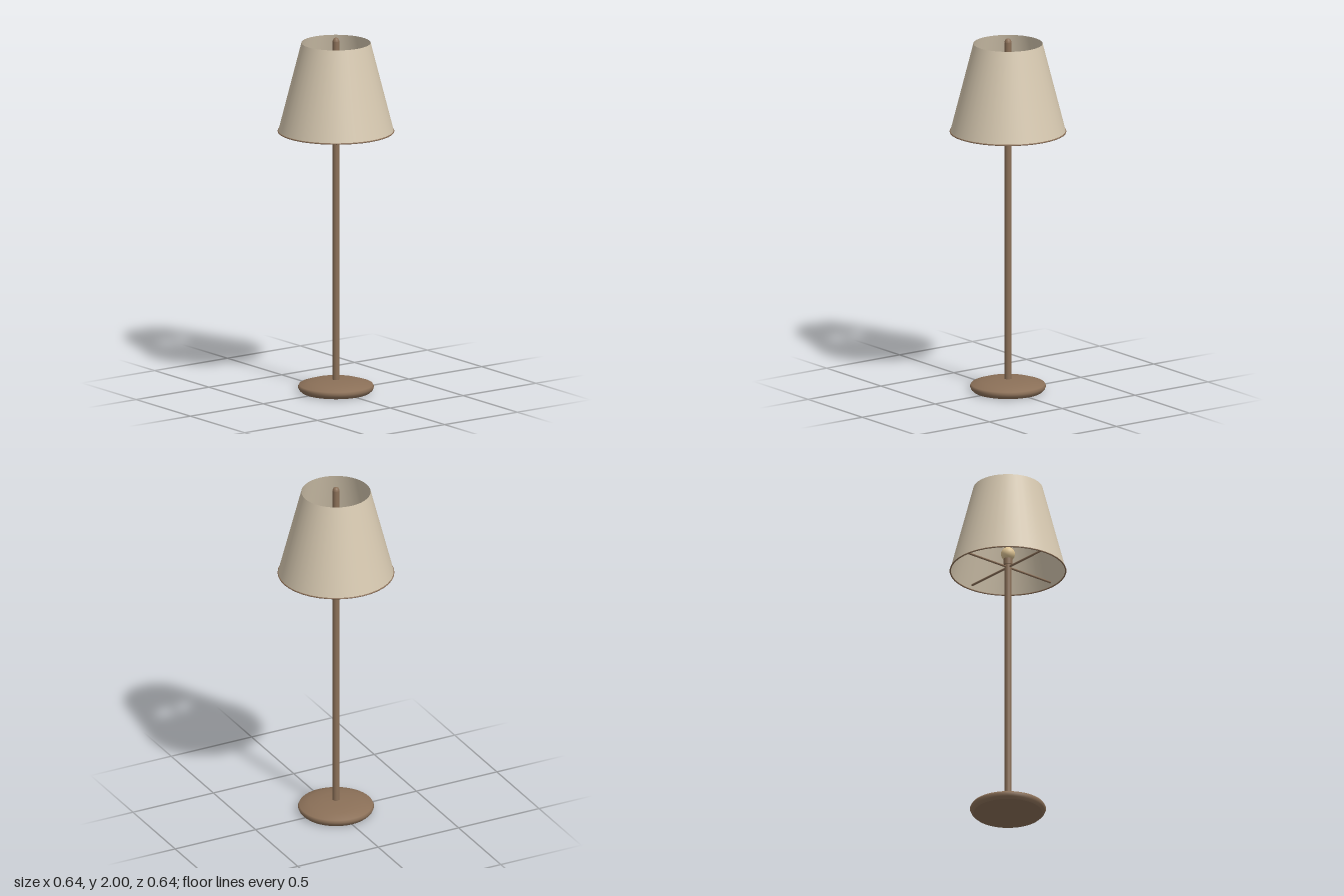
import * as THREE from 'three';

export function createModel() {
  const lamp = new THREE.Group();
  lamp.name = 'floorLamp';

  const bronze = new THREE.MeshStandardMaterial({ color: 0x8b7058 });
  bronze.name = 'bronze';
  const linen = new THREE.MeshStandardMaterial({ color: 0xd6c8b0, side: THREE.DoubleSide });
  linen.name = 'linen';
  const warmGlass = new THREE.MeshStandardMaterial({ color: 0xdfc595 });
  warmGlass.name = 'warmGlass';

  const add = (name, geometry, material, y = 0) => {
    const mesh = new THREE.Mesh(geometry, material);
    mesh.name = name;
    mesh.position.y = y;
    lamp.add(mesh);
    return mesh;
  };
  const lathe = (points, sides) =>
    new THREE.LatheGeometry(points.map(([r, y]) => new THREE.Vector2(r, y)), sides);

  // Flat underside and softly domed base
  add('baseUnderside', new THREE.CircleGeometry(0.19, 48).rotateX(Math.PI / 2), bronze);
  add('base', lathe([
    [0.19, 0], [0.203, 0.012], [0.21, 0.028], [0.203, 0.041],
    [0.15, 0.058], [0.08, 0.067], [0, 0.069],
  ], 48), bronze);

  // Pole running up to the finial
  add('pole', new THREE.CylinderGeometry(0.019, 0.019, 1.92, 20), bronze, 1.02);
  add('finial', lathe([
    [0.019, 1.975], [0.018, 1.985], [0.013, 1.995], [0.006, 1.999], [0, 2],
  ], 20), bronze);

  // Socket and bulb
  add('socket', new THREE.CylinderGeometry(0.024, 0.024, 0.04, 20), bronze, 1.53);
  add('bulb', new THREE.SphereGeometry(0.039, 24, 16), warmGlass, 1.575);

  // Four spokes carrying the shade
  for (let i = 0; i < 4; i++) {
    const spoke = new THREE.CylinderGeometry(0.006, 0.006, 0.306, 10);
    spoke.rotateZ(Math.PI / 2).translate(0.153, 0, 0).rotateY(i * Math.PI / 2);
    add('shadeSpoke' + (i + 1), spoke, bronze, 1.495);
  }

  // Open tapered shade with its lower trim
  add('shade', new THREE.CylinderGeometry(0.191, 0.319, 0.5, 40, 1, true), linen, 1.722);
  add('shadeTrim', new THREE.TorusGeometry(0.318, 0.004, 8, 40).rotateX(Math.PI / 2), bronze, 1.473);

  return lamp;
}
